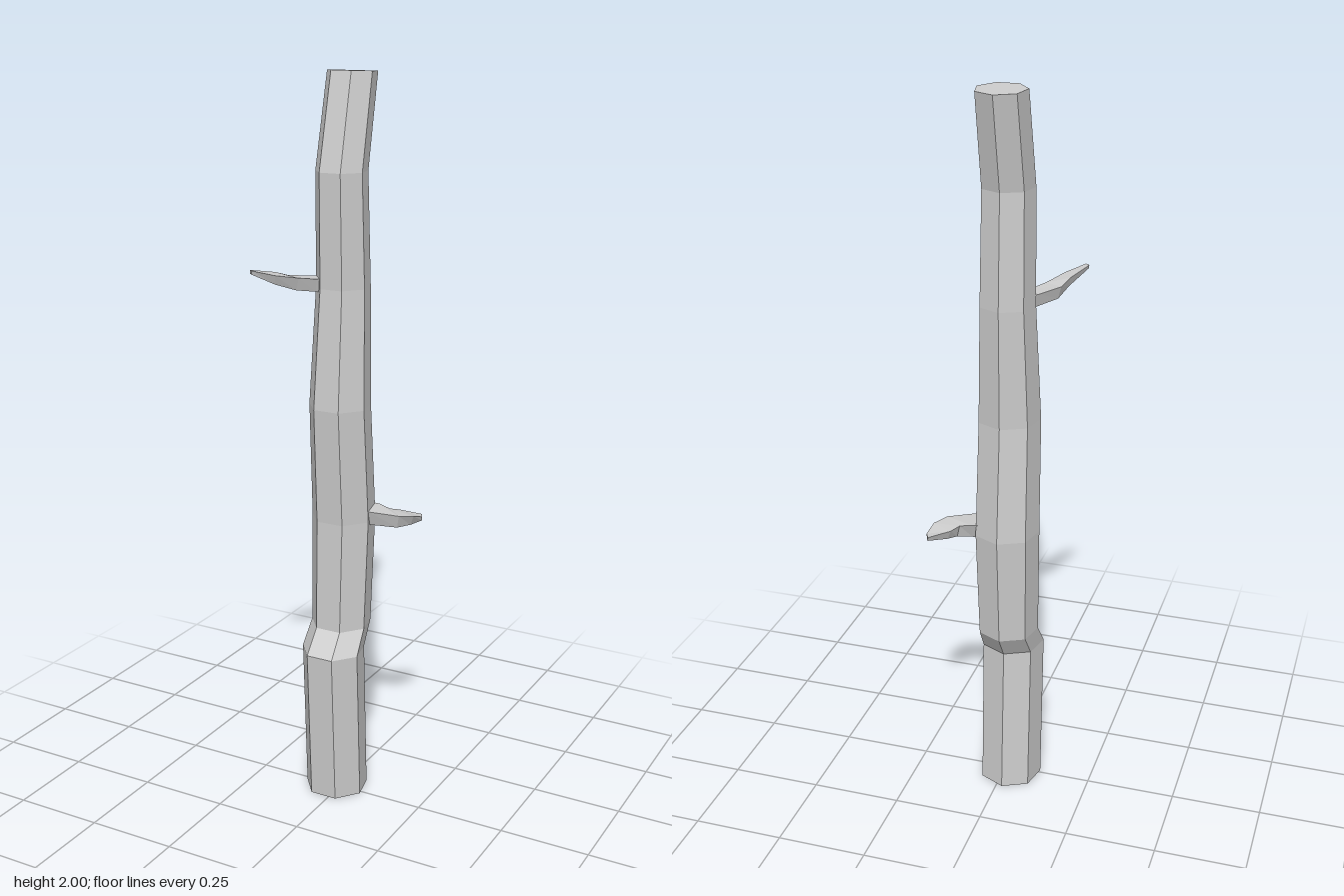
import * as THREE from 'three';

const material = new THREE.MeshStandardMaterial({ color: 0xcccccc, flatShading: true });

// Skins a list of equal-length rings (clockwise when looking along the path) and caps both ends
function loft(name, rings) {
  const pos = [];
  const tri = (...pts) => pts.forEach((p) => pos.push(...p));
  const n = rings[0].length;
  for (let i = 0; i < rings.length - 1; i++) {
    for (let j = 0; j < n; j++) {
      const k = (j + 1) % n;
      const a = rings[i][j], b = rings[i][k], c = rings[i + 1][k], d = rings[i + 1][j];
      tri(a, b, c);
      tri(a, c, d);
    }
  }
  const first = rings[0], last = rings[rings.length - 1];
  for (let j = 1; j < n - 1; j++) {
    tri(first[0], first[j + 1], first[j]);
    tri(last[0], last[j], last[j + 1]);
  }
  const geometry = new THREE.BufferGeometry();
  geometry.setAttribute('position', new THREE.Float32BufferAttribute(pos, 3));
  geometry.computeVertexNormals();
  const mesh = new THREE.Mesh(geometry, material);
  mesh.name = name;
  return mesh;
}

// Seven-sided trunk ring with a corner at the back and a flat side in front
function trunkRing([y, frontZ, r, tilt = 0]) {
  const centreZ = frontZ - r * Math.cos(Math.PI / 7);
  return Array.from({ length: 7 }, (_, i) => {
    const a = (i / 7) * Math.PI * 2;
    const z = -r * Math.cos(a);
    return [-0.017 - r * Math.sin(a), y + tilt * (z - r * 0.9), centreZ + z];
  });
}

// Four-cornered branch section: wide on top, narrower underneath
function branchRing([lx, lz, rx, rz, top, bottom]) {
  const t = 0.2;
  const mix = (a, b) => a + (b - a) * t;
  return [
    [lx, top, lz],
    [rx, top, rz],
    [mix(rx, lx), bottom, mix(rz, lz)],
    [mix(lx, rx), bottom, mix(lz, rz)],
  ];
}

export function createModel() {
  const group = new THREE.Group();
  group.name = 'bareTrunk';

  // Trunk: height, front z, radius, tilt of the cut
  group.add(loft('trunk', [
    [0, 0.07, 0.088],
    [0.435, 0.09, 0.088],
    [0.5, 0.04, 0.084],
    [0.81, 0.03, 0.089],
    [1.13, 0.048, 0.085],
    [1.45, 0.02, 0.074],
    [1.75, 0.025, 0.07],
    [2, -0.035, 0.067, 0.05],
  ].map(trunkRing)));

  // Branch stubs: left x, z, right x, z, top y, bottom y
  group.add(loft('upperBranch', [
    [-0.035, -0.01, -0.075, -0.045, 1.475, 1.435],
    [-0.06, 0.018, -0.095, -0.018, 1.475, 1.44],
    [-0.09, 0.06, -0.137, 0.035, 1.482, 1.448],
    [-0.125, 0.12, -0.15, 0.075, 1.495, 1.47],
    [-0.17, 0.16, -0.181, 0.15, 1.51, 1.5],
  ].map(branchRing)));

  group.add(loft('lowerBranch', [
    [0.03, -0.105, 0.04, -0.025, 0.842, 0.798],
    [0.065, -0.107, 0.07, -0.032, 0.84, 0.798],
    [0.098, -0.105, 0.148, -0.06, 0.832, 0.795],
    [0.115, -0.128, 0.175, -0.095, 0.825, 0.797],
    [0.17, -0.158, 0.181, -0.137, 0.812, 0.8],
  ].map(branchRing)));

  return group;
}
